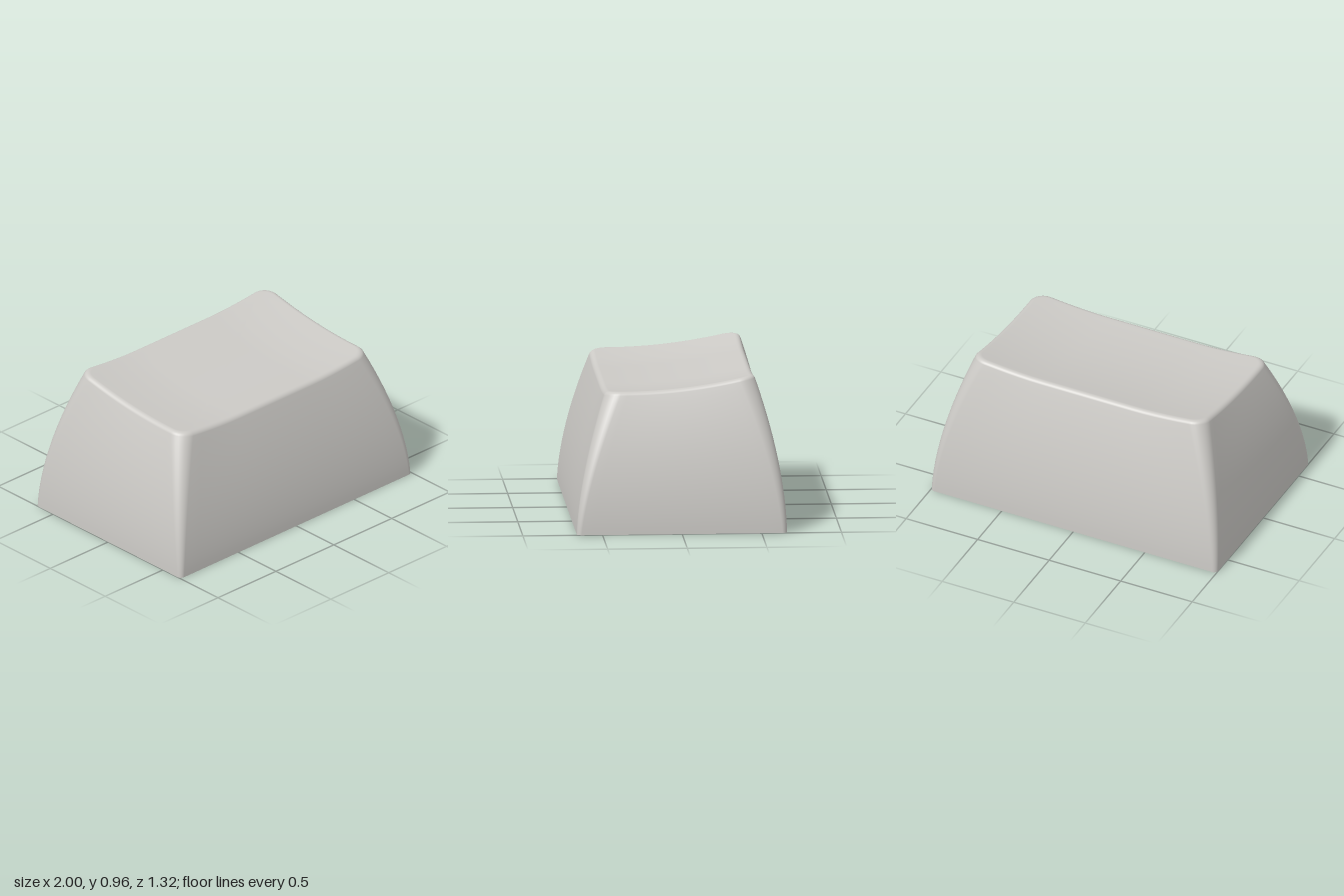
import * as THREE from 'three';

// Height of the dished top: rises to the back and towards both ends
function dish(x, z) {
  const e = Math.max(0, Math.abs(x) - 0.33) / 0.44;
  return 0.856 - 0.1056 * z + 0.15 * z * z + 0.033 * Math.pow(e, 1.7);
}

// Rounded rectangle in plan as a closed ring of [x, z], same point count for every size
function ring(hx, front, back, r) {
  const corner = 8, straight = 18, pts = [];
  const centres = [[hx - r, front - r], [-hx + r, front - r], [-hx + r, -back + r], [hx - r, -back + r]];
  centres.forEach(([cx, cz], c) => {
    for (let i = 0; i <= corner; i++) {
      const a = (c + i / corner) * Math.PI / 2;
      pts.push([cx + r * Math.cos(a), cz + r * Math.sin(a)]);
    }
    const [nx, nz] = centres[(c + 1) % 4];
    const a = (c + 1) * Math.PI / 2;
    for (let i = 1; i < straight; i++) {
      const t = i / straight;
      pts.push([cx + (nx - cx) * t + r * Math.cos(a), cz + (nz - cz) * t + r * Math.sin(a)]);
    }
  });
  return pts;
}

const level = (pts, y) => pts.map(([x, z]) => [x, y, z]);

// Skin a list of closed loops of [x, y, z]
function loft(loops, flat) {
  const n = loops[0].length, index = [];
  for (let j = 0; j < loops.length - 1; j++) {
    for (let i = 0; i < n; i++) {
      const a = j * n + i, b = j * n + (i + 1) % n, c = a + n, d = b + n;
      index.push(a, c, b, b, c, d);
    }
  }
  let g = new THREE.BufferGeometry();
  g.setAttribute('position', new THREE.Float32BufferAttribute(loops.flat(2), 3));
  g.setIndex(index);
  if (flat) g = g.toNonIndexed();
  g.computeVertexNormals();
  return g;
}

// Curved walls, rounded rim and dished top
function outerShell() {
  const loops = [], f = 0.04, a0 = 0.35, walls = 20, fillet = 7, rings = 16;
  const plan = (s, inset) => ring(
    1 - 0.185 * Math.pow(s, 1.8) - inset,
    0.66 - 0.185 * Math.pow(s, 1.6) - inset,
    0.66 - 0.185 * Math.pow(s, 1.75) - inset,
    0.03 + 0.07 * s - inset * 0.6);
  const rim = plan(1, 0).map(([x, z]) => dish(x, z) - f * (1 - Math.sin(a0)));
  for (let j = 0; j <= walls; j++) {
    const s = j / walls;
    loops.push(plan(s, 0).map(([x, z], i) => [x, s * rim[i], z]));
  }
  let last;
  for (let j = 1; j <= fillet; j++) {
    const a = a0 + (Math.PI / 2 - a0) * j / fillet;
    last = plan(1, f * (Math.cos(a0) - Math.cos(a)));
    loops.push(last.map(([x, z]) => [x, dish(x, z) - f * (1 - Math.sin(a)), z]));
  }
  for (let j = rings - 1; j >= 0; j--) {
    const k = j / rings;
    loops.push(last.map(([x, z]) => [x * k, dish(x * k, z * k), z * k]));
  }
  return loft(loops, false);
}

// Flat ceiling, tapered inner walls and the flat bottom edge
function cavity() {
  const ceiling = ring(0.82, 0.48, 0.48, 0.003);
  return loft([
    ceiling.map(() => [0, 0.6, 0]),
    level(ceiling, 0.6),
    level(ring(0.92, 0.58, 0.58, 0.003), 0),
    level(ring(1, 0.66, 0.66, 0.03), 0),
  ], true);
}

// Round post with a cross-shaped socket
function stemGeometry(depth) {
  const shape = new THREE.Shape().absarc(0, 0, 0.2, 0, Math.PI * 2, false);
  const l = 0.15, w = 0.045;
  const cross = [[l, -w], [l, w], [w, w], [w, l], [-w, l], [-w, w], [-l, w], [-l, -w], [-w, -w], [-w, -l], [w, -l], [w, -w]];
  shape.holes.push(new THREE.Path(cross.map(([x, y]) => new THREE.Vector2(x, y)).reverse()));
  const g = new THREE.ExtrudeGeometry(shape, { depth, bevelEnabled: false, curveSegments: 32 });
  return g.rotateX(-Math.PI / 2);
}

export function createModel() {
  const group = new THREE.Group();
  group.name = 'keycap';
  const plastic = new THREE.MeshStandardMaterial({ color: 0xcccac6 });
  plastic.name = 'light grey plastic';
  const add = (name, geometry, y = 0) => {
    const mesh = new THREE.Mesh(geometry, plastic);
    mesh.name = name;
    mesh.position.y = y;
    group.add(mesh);
  };
  add('outerShell', outerShell());
  add('innerCavity', cavity());
  add('stem', stemGeometry(0.3));
  add('stemBase', new THREE.CylinderGeometry(0.2, 0.2, 0.3, 64), 0.45);
  return group;
}
